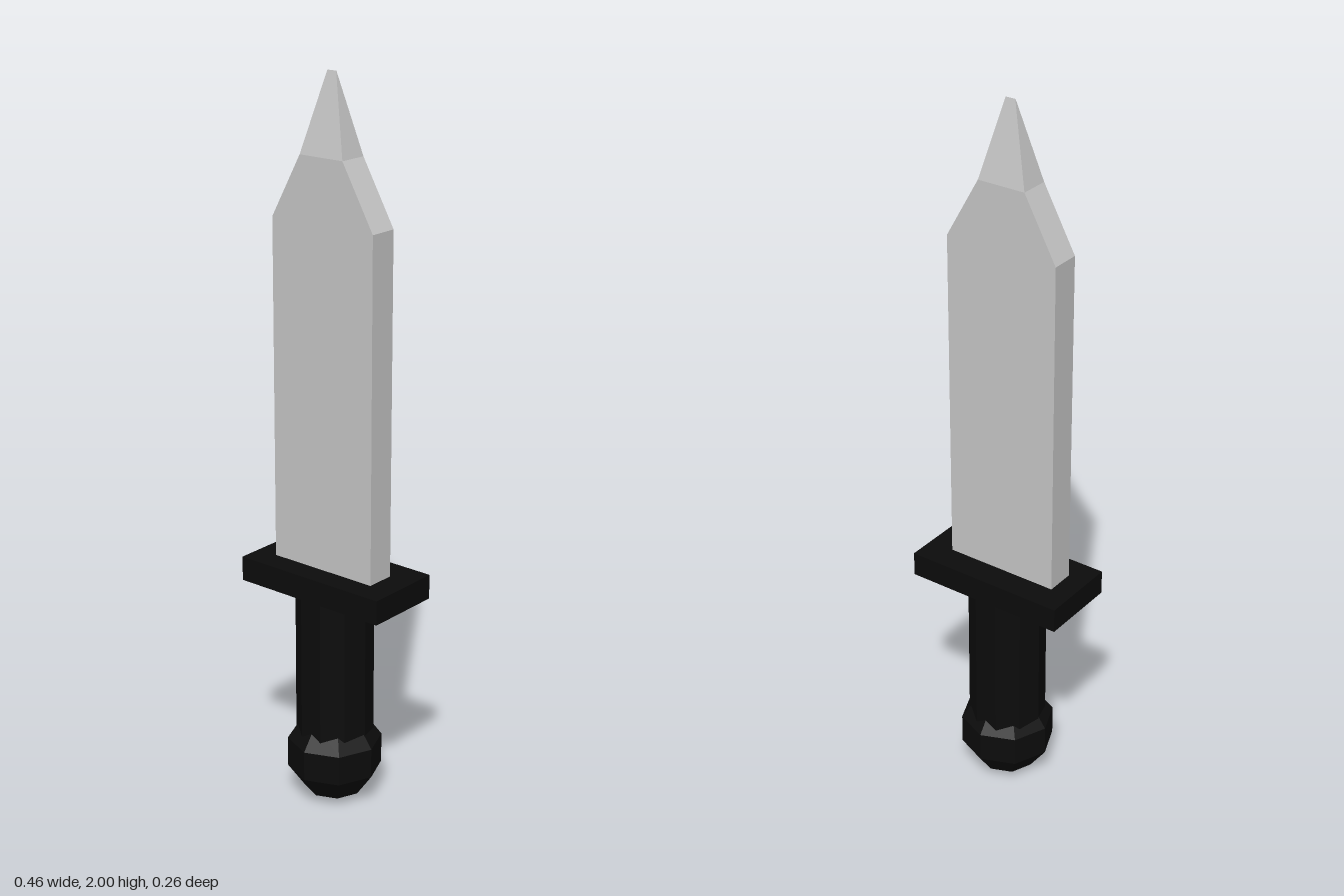
import * as THREE from 'three';

const steel = new THREE.MeshStandardMaterial({ color: 0xc8c8c8, flatShading: true });
steel.name = 'steel';
const black = new THREE.MeshStandardMaterial({ color: 0x0c0c0c, flatShading: true });
black.name = 'black';

// Loft of rectangles, each given as [y, left x, right x, back z, front z]
function loftRects(sections) {
  const rings = sections.map(([y, x0, x1, z0, z1]) => [[x0, y, z1], [x1, y, z1], [x1, y, z0], [x0, y, z0]]);
  const pos = [];
  const quad = (a, b, c, d) => pos.push(...a, ...b, ...c, ...a, ...c, ...d);
  for (let i = 0; i < rings.length - 1; i++) {
    for (let k = 0; k < 4; k++) {
      const n = (k + 1) % 4;
      quad(rings[i][k], rings[i][n], rings[i + 1][n], rings[i + 1][k]);
    }
  }
  const b = rings[0];
  quad(b[3], b[2], b[1], b[0]);
  const g = new THREE.BufferGeometry();
  g.setAttribute('position', new THREE.Float32BufferAttribute(pos, 3));
  g.computeVertexNormals();
  return g;
}

export function createModel() {
  const model = new THREE.Group();
  model.name = 'dagger';
  const add = (name, geometry, material, x, y, z) => {
    const mesh = new THREE.Mesh(geometry, material);
    mesh.name = name;
    mesh.position.set(x, y, z);
    model.add(mesh);
  };

  // Blade: straight body, two tapering steps, narrow edge at the tip
  add('blade', loftRects([
    [0.67, -0.17, 0.158, -0.038, 0.044],
    [1.62, -0.17, 0.158, -0.038, 0.044],
    [1.79, -0.077, 0.061, -0.038, 0.044],
    [2.0, -0.021, 0.007, 0.002, 0.003],
  ]), steel, 0, 0, 0);

  // Crossguard
  add('guard', new THREE.BoxGeometry(0.463, 0.068, 0.224), black, 0, 0.653, -0.001);

  // Ten-sided grip
  const grip = new THREE.CylinderGeometry(0.106, 0.106, 0.5, 10);
  grip.rotateY(Math.PI / 2);
  add('grip', grip, black, -0.002, 0.38, -0.003);

  // Faceted pommel
  add('pommel', new THREE.SphereGeometry(0.136, 8, 5), black, 0, 0.138, 0);

  return model;
}
